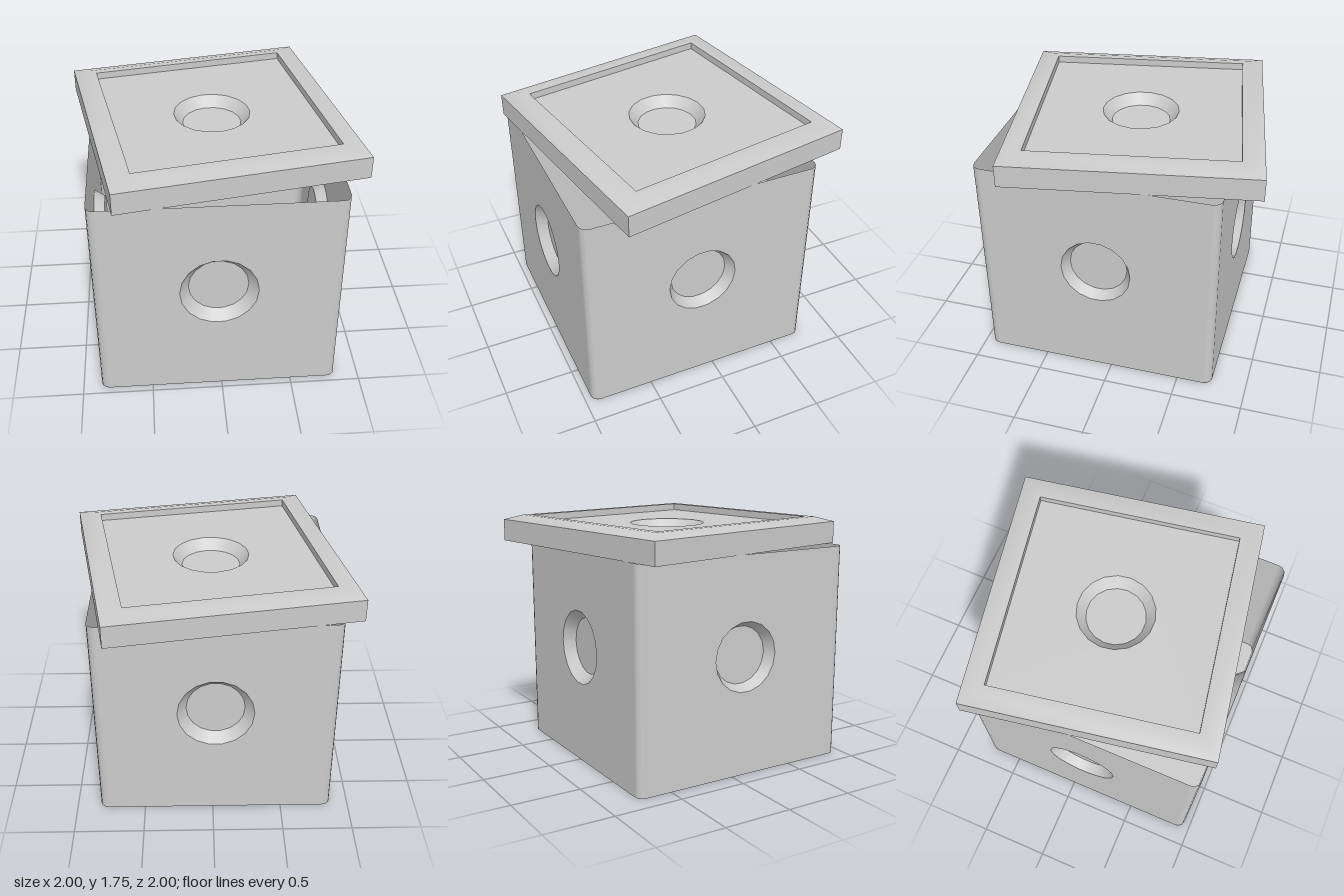
import * as THREE from 'three';
import { toCreasedNormals } from 'three/addons/utils/BufferGeometryUtils.js';

const material = new THREE.MeshStandardMaterial({ color: 0xcccccc, side: THREE.DoubleSide });
const SIDES = 18;
const TILT = THREE.MathUtils.degToRad(10);
const DIMPLE_FLOOR = 0.207;
const DIMPLE_DEPTH = 0.075;

function addMesh(parent, name, geometry) {
  const mesh = new THREE.Mesh(geometry, material);
  mesh.name = name;
  parent.add(mesh);
  return mesh;
}

// Sheet facing +z with a conical blind dimple pressed in at the origin
function dimpledPanel(name, corners, radius) {
  const panel = new THREE.Group();
  panel.name = name;
  const shape = new THREE.Shape(corners);
  const rim = [];
  for (let i = 0; i < SIDES; i++) {
    const a = (i / SIDES) * Math.PI * 2;
    rim.push(new THREE.Vector2(Math.cos(a) * radius, Math.sin(a) * radius));
  }
  shape.holes.push(new THREE.Path(rim));
  addMesh(panel, name + 'Sheet', new THREE.ShapeGeometry(shape));

  const cone = new THREE.CylinderGeometry(radius, DIMPLE_FLOOR, DIMPLE_DEPTH, SIDES, 1, true, Math.PI / 2);
  cone.rotateX(Math.PI / 2).translate(0, 0, -DIMPLE_DEPTH / 2);
  addMesh(panel, name + 'DimpleWall', cone);
  addMesh(panel, name + 'DimpleFloor', new THREE.CircleGeometry(DIMPLE_FLOOR, SIDES)).position.z = -DIMPLE_DEPTH;
  return panel;
}

// Open-topped box with rounded upright corners
function createBox() {
  const box = new THREE.Group();
  box.name = 'box';
  const half = 0.85, height = 1.565, round = 0.06, dimpleY = 0.855;
  const flat = half - round;
  const corners = [[-flat, 0], [flat, 0], [flat, height], [-flat, height]]
    .map(([x, y]) => new THREE.Vector2(x, y - dimpleY));

  ['front', 'left', 'back', 'right'].forEach((side, i) => {
    const wall = new THREE.Group();
    wall.name = side + 'Side';
    wall.rotation.y = i * Math.PI / 2;
    const panel = dimpledPanel(side + 'Wall', corners, i % 2 ? 0.25 : 0.27);
    panel.position.set(0, dimpleY, half);
    wall.add(panel);
    const corner = new THREE.CylinderGeometry(round, round, height, 3, 1, true, 0, Math.PI / 2);
    addMesh(wall, side + 'Corner', corner).position.set(flat, height / 2, flat);
    box.add(wall);
  });

  // Bottom plate follows the rounded outline
  const outline = new THREE.Shape();
  for (let i = 0; i < 4; i++) {
    const a = i * Math.PI / 2;
    const cx = flat * Math.SQRT2 * Math.cos(a + Math.PI / 4);
    const cy = flat * Math.SQRT2 * Math.sin(a + Math.PI / 4);
    outline.absarc(cx, cy, round, a, a + Math.PI / 2, false);
  }
  const bottom = new THREE.ShapeGeometry(outline, 3);
  bottom.rotateX(Math.PI / 2);
  addMesh(box, 'bottom', bottom);
  box.position.set(-0.02, 0, 0.1);
  return box;
}

// Twisted hollow lid: skirt, sloping rim and recessed top
function createLid() {
  const lid = new THREE.Group();
  lid.name = 'lid';
  const inner = 0.71, recessY = 1.705;
  const profile = [[0.863, 1.563], [0.863, 1.72], [0.76, 1.755], [inner, 1.755], [inner, recessY]]
    .map(([h, y]) => new THREE.Vector2(h * Math.SQRT2, y));
  const frame = new THREE.LatheGeometry(profile, 4, Math.PI / 4);
  addMesh(lid, 'lidFrame', toCreasedNormals(frame, 0.5)).rotation.y = TILT;

  const corners = [[-1, -1], [1, -1], [1, 1], [-1, 1]].map(([x, y]) =>
    new THREE.Vector2(x * inner, y * inner).rotateAround(new THREE.Vector2(), TILT));
  const top = dimpledPanel('lidTop', corners, 0.27);
  top.rotation.x = -Math.PI / 2;
  top.position.y = recessY;
  lid.add(top);
  return lid;
}

export function createModel() {
  const model = new THREE.Group();
  model.name = 'lidded box';
  model.add(createBox(), createLid());
  return model;
}
